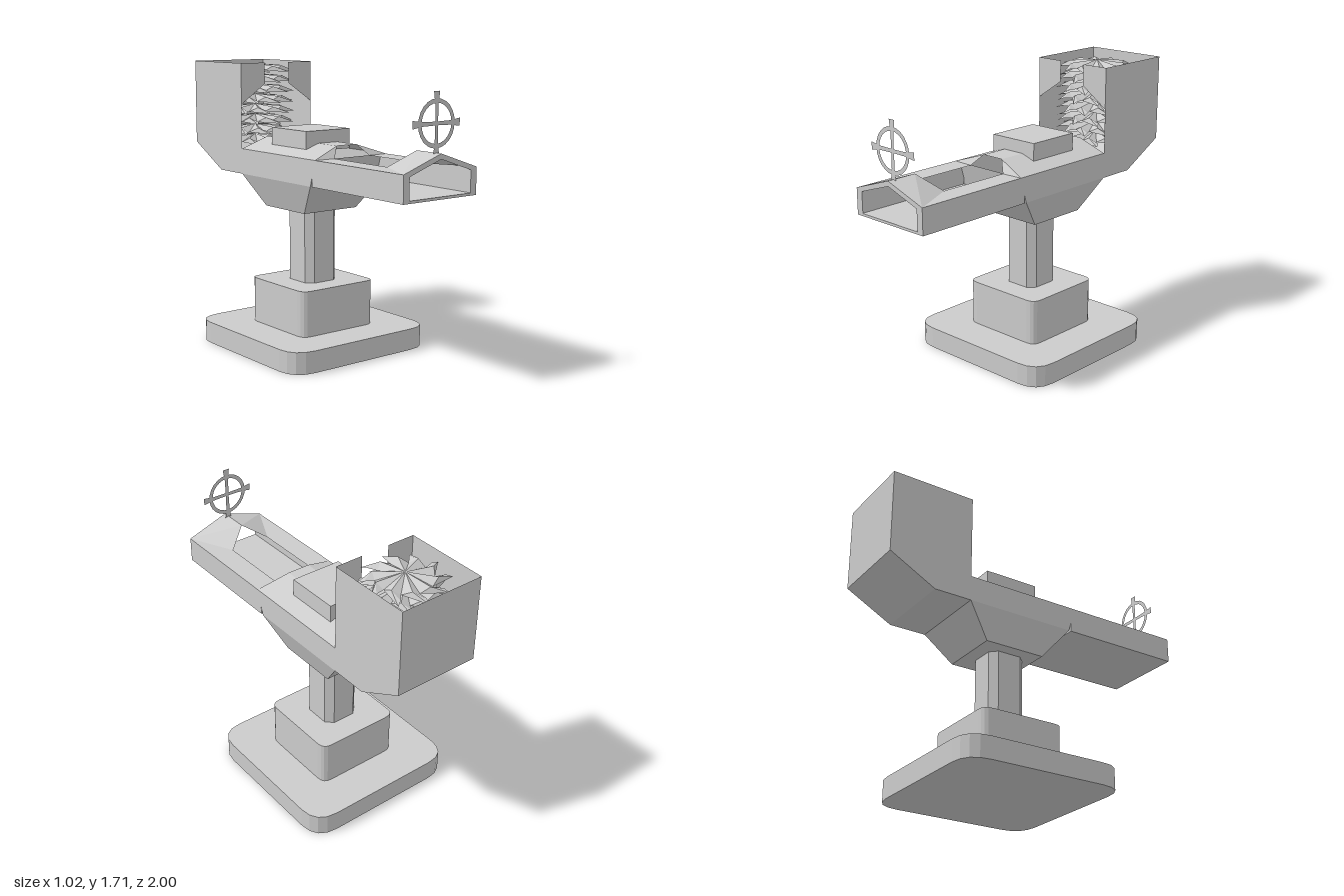
import * as THREE from 'three';

const grey = new THREE.MeshStandardMaterial({ color: 0xcccccc, side: THREE.DoubleSide });

function add(parent, name, geometry) {
  const mesh = new THREE.Mesh(geometry, grey);
  mesh.name = name;
  parent.add(mesh);
  return mesh;
}

// Flat panels: each face is a short loop of corners, split as a fan
function panels(faces) {
  const pos = [];
  for (const f of faces)
    for (let i = 1; i < f.length - 1; i++) pos.push(...f[0], ...f[i], ...f[i + 1]);
  const g = new THREE.BufferGeometry();
  g.setAttribute('position', new THREE.Float32BufferAttribute(pos, 3));
  g.computeVertexNormals();
  return g;
}

// Adds the x-mirrored copy of each face, with its corners reversed
const mirrored = (faces) =>
  faces.concat(faces.map((f) => f.map(([x, y, z]) => [-x, y, z]).reverse()));

// Upright block with rounded or cut corners
function slab(w, d, r, y0, y1, zc, segments) {
  const a = w / 2, b = d / 2, s = new THREE.Shape();
  s.moveTo(-a + r, -b).lineTo(a - r, -b);
  s.quadraticCurveTo(a, -b, a, -b + r).lineTo(a, b - r);
  s.quadraticCurveTo(a, b, a - r, b).lineTo(-a + r, b);
  s.quadraticCurveTo(-a, b, -a, b - r).lineTo(-a, -b + r);
  s.quadraticCurveTo(-a, -b, -a + r, -b);
  const g = new THREE.ExtrudeGeometry(s, { depth: y1 - y0, bevelEnabled: false, curveSegments: segments });
  return g.rotateX(-Math.PI / 2).translate(0, y0, zc);
}

function loop(points, Type = THREE.Shape) {
  return new Type(points.map(([x, y]) => new THREE.Vector2(x, y)));
}

// Swept, pointed star with a raised middle and a shallow underside
function spikedStar(points, radius) {
  const faces = [];
  const at = (r, a, y) => [r * Math.sin(a), y, r * Math.cos(a)];
  const step = (Math.PI * 2) / points;
  const top = [0, 0.03, 0], under = [0, -0.02, 0];
  for (let i = 0; i < points; i++) {
    const a = i * step;
    const v0 = at(radius * 0.62, a, -0.012), v1 = at(radius * 0.62, a + step, -0.012);
    const mid = at(radius * 0.68, a + step * 0.55, 0.016);
    const bend = at(radius * 0.85, a + step * 1.05, -0.008);
    const tip = at(radius, a + step * 1.0, -0.02);
    faces.push([top, v0, mid], [top, mid, v1], [v0, tip, mid], [mid, tip, bend], [mid, bend, v1]);
    faces.push([under, v1, v0], [v0, v1, bend, tip]);
  }
  return panels(faces);
}

export function createModel() {
  const model = new THREE.Group();
  model.name = 'turret';

  // Stand
  add(model, 'basePlate', slab(1.02, 1.02, 0.15, 0, 0.13, -0.12, 4));
  add(model, 'pedestal', slab(0.54, 0.535, 0.06, 0.13, 0.405, -0.115, 4));
  add(model, 'column', slab(0.23, 0.235, 0.042, 0.405, 0.86, -0.113, 1));

  // Turret body: tapered underside, upright sides, hipped roof with a front notch
  const W = 0.265, back = -0.475;
  const ring = (x, y, zf, zb) => [[-x, y, zf], [x, y, zf], [x, y, zb], [-x, y, zb]];
  const rings = [ring(0.195, 0.85, 0.065, -0.32), ring(W, 1.035, 0.215, back), ring(W, 1.19, 0.26, back)];
  const body = [rings[0].slice().reverse()];
  for (let k = 0; k < 2; k++)
    for (let i = 0; i < 4; i++) {
      const j = (i + 1) % 4;
      body.push([rings[k][i], rings[k][j], rings[k + 1][j], rings[k + 1][i]]);
    }
  add(model, 'turretBody', panels(body));
  add(model, 'turretRoof', panels([
    ...mirrored([
      [[W, 1.19, 0.26], [W, 1.19, back], [0.072, 1.255, back], [0.072, 1.255, 0.215]],
      [[0.13, 1.19, 0.265], [W, 1.19, 0.26], [0.072, 1.255, 0.215]],
    ]),
    [[-0.072, 1.255, 0.215], [0.072, 1.255, 0.215], [0.072, 1.255, back], [-0.072, 1.255, back]],
    [[W, 1.19, back], [-W, 1.19, back], [-0.072, 1.255, back], [0.072, 1.255, back]],
  ]));
  add(model, 'roofHatch', new THREE.BoxGeometry(0.325, 0.12, 0.345).translate(0, 1.27, -0.13));

  // Forward trough: floor and side walls
  const trough = new THREE.Group();
  trough.name = 'frontTrough';
  model.add(trough);
  const channel = loop([[-W, 1.19], [-W, 1.035], [W, 1.035], [W, 1.19],
    [0.225, 1.19], [0.225, 1.05], [-0.225, 1.05], [-0.225, 1.19]]);
  add(trough, 'troughChannel',
    new THREE.ExtrudeGeometry(channel, { depth: 0.77, bevelEnabled: false }).translate(0, 0, 0.23));

  // Trough cover: side ledges and a peaked hood around the slot
  add(trough, 'troughCover', panels(mirrored([
    [[0.13, 1.19, 0.72], [W, 1.19, 0.72], [W, 1.19, 0.26], [0.13, 1.19, 0.26]],
    [[0, 1.28, 1], [W, 1.19, 1], [0, 1.28, 0.81]],
    [[0, 1.28, 0.81], [W, 1.19, 1], [0.13, 1.19, 0.72]],
    [[0.13, 1.19, 0.72], [W, 1.19, 1], [W, 1.19, 0.72]],
  ])));

  // Open frame at the trough mouth
  const frame = loop([[-W, 1.035], [W, 1.035], [W, 1.19], [0, 1.28], [-W, 1.19]]);
  frame.holes.push(loop([[-0.222, 1.05], [-0.222, 1.175], [0, 1.25], [0.222, 1.175], [0.222, 1.05]], THREE.Path));
  add(trough, 'mouthFrame', new THREE.ShapeGeometry(frame).translate(0, 0, 1));

  // Sight: thin ring with crossed bars
  const sight = new THREE.Group();
  sight.name = 'sight';
  sight.position.set(0, 1.435, 0.96);
  model.add(sight);
  add(sight, 'sightRing', new THREE.RingGeometry(0.108, 0.132, 24));
  for (let i = 0; i < 4; i++) {
    const bar = loop([[-0.01, 0], [0.01, 0], [0.012, 0.1], [0.022, 0.17], [-0.022, 0.17], [-0.012, 0.1]]);
    add(sight, 'sightBar', new THREE.ShapeGeometry(bar)).rotation.z = (i * Math.PI) / 2;
  }

  // Rear hopper: open at the top, with a widening gap in its front wall
  const top = 1.71;
  add(model, 'rearHopper', panels([
    ...mirrored([
      [[W, 1.035, back], [W, 1.035, -0.71], [W, 1.19, -1], [W, top, -1], [W, top, back]],
      [[0.09, top, back], [0.09, 1.58, back], [W, 1.46, back], [W, top, back]],
    ]),
    [[W, 1.19, -1], [-W, 1.19, -1], [-W, top, -1], [W, top, -1]],
    [[W, 1.035, -0.71], [-W, 1.035, -0.71], [-W, 1.19, -1], [W, 1.19, -1]],
    [[W, 1.035, back], [-W, 1.035, back], [-W, 1.035, -0.71], [W, 1.035, -0.71]],
  ]));

  // Stack of spiked stars in the hopper
  const stack = new THREE.Group();
  stack.name = 'starStack';
  stack.position.z = -0.715;
  model.add(stack);
  const star = spikedStar(10, 0.255);
  for (let i = 0; i < 8; i++) {
    const layer = add(stack, 'spikedStar', star);
    layer.position.y = 1.22 + i * 0.064;
    layer.rotation.y = i * 0.314 + 0.1;
  }

  return model;
}
